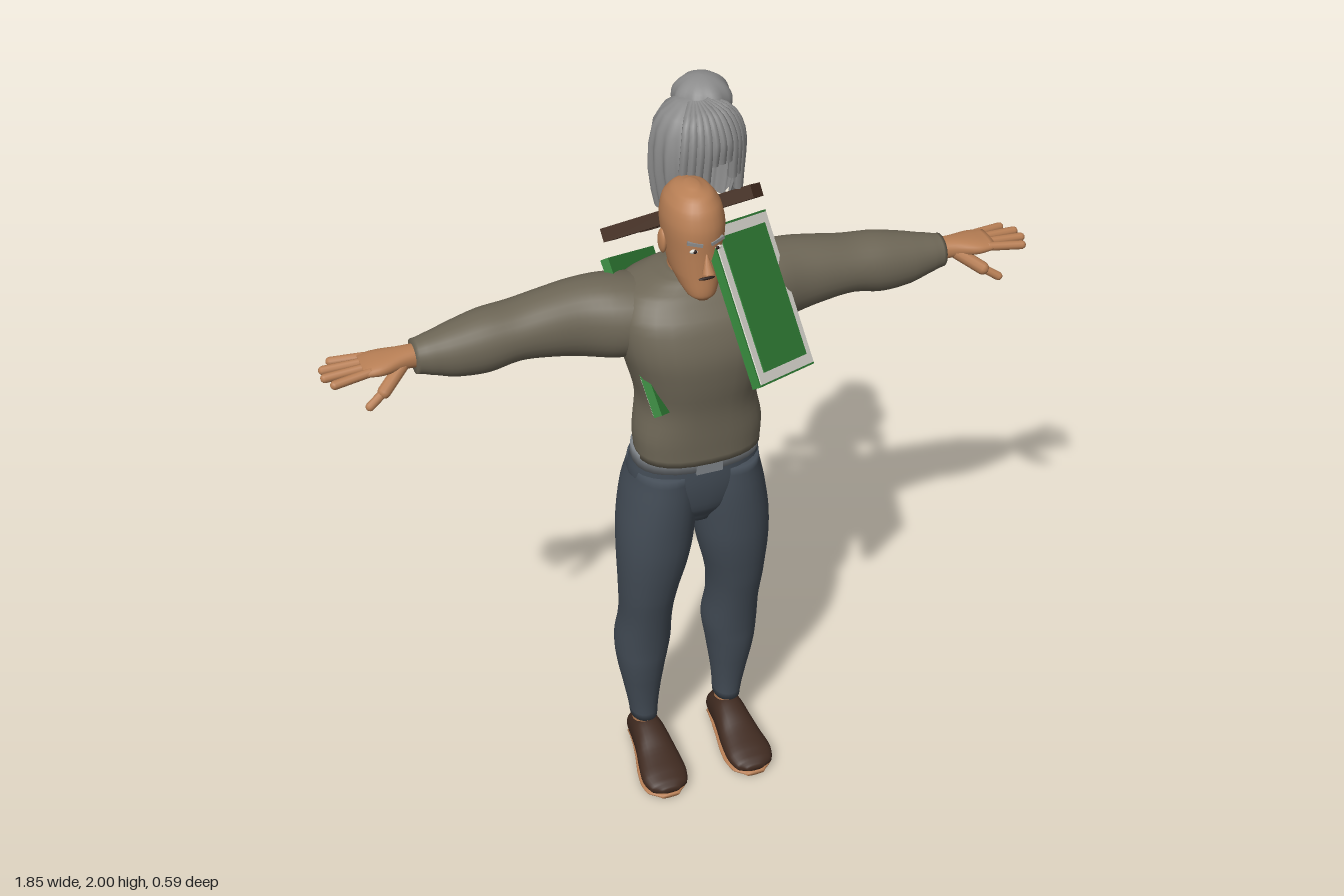
import * as THREE from 'three';

const mat = (name, color, double) => {
  const m = new THREE.MeshStandardMaterial({ color });
  m.name = name;
  if (double) m.side = THREE.DoubleSide;
  return m;
};
const V = (x, y, z) => new THREE.Vector3(x, y, z);

// Closed body through cross-sections [t, a0, a1, b0, b1] along an axis.
// Axis y: a = x, b = z.  Axis x: a = z, b = y.  Axis z: a = y, b = x.
function loft(rows, axis = 'y', power = 2.3, steps = 4, sides = 28) {
  const place = { y: (t, a, b) => [a, t, b], x: (t, a, b) => [t, b, a], z: (t, a, b) => [b, a, t] }[axis];
  const rings = [];
  for (let i = 0; i < rows.length - 1; i++) {
    const [p, q, r, s] = [rows[Math.max(i - 1, 0)], rows[i], rows[i + 1], rows[Math.min(i + 2, rows.length - 1)]];
    for (let k = 0; k < steps; k++) {
      const u = k / steps;
      rings.push(q.map((v, c) => c === 0 ? v + (r[0] - v) * u :
        0.5 * (2 * v + (r[c] - p[c]) * u + (2 * p[c] - 5 * v + 4 * r[c] - s[c]) * u * u + (3 * v - p[c] - 3 * r[c] + s[c]) * u ** 3)));
    }
  }
  rings.push(rows[rows.length - 1]);
  const pos = [], index = [];
  const bend = (v) => Math.sign(v) * Math.abs(v) ** (2 / power);
  for (const [t, a0, a1, b0, b1] of rings) {
    for (let j = 0; j < sides; j++) {
      const th = (j / sides) * Math.PI * 2;
      pos.push(...place(t, (a0 + a1) / 2 + bend(Math.cos(th)) * (a1 - a0) / 2, (b0 + b1) / 2 + bend(Math.sin(th)) * (b1 - b0) / 2));
    }
  }
  for (let i = 0; i < rings.length - 1; i++) for (let j = 0; j < sides; j++) {
    const a = i * sides + j, b = i * sides + (j + 1) % sides;
    index.push(a, a + sides, b, b, a + sides, b + sides);
  }
  // end caps
  [0, rings.length - 1].forEach((i, end) => {
    const [t, a0, a1, b0, b1] = rings[i], c = pos.length / 3;
    pos.push(...place(t, (a0 + a1) / 2, (b0 + b1) / 2));
    for (let j = 0; j < sides; j++) {
      const a = i * sides + j, b = i * sides + (j + 1) % sides;
      index.push(...(end ? [c, b, a] : [c, a, b]));
    }
  });
  const g = new THREE.BufferGeometry();
  g.setAttribute('position', new THREE.Float32BufferAttribute(pos, 3));
  g.setIndex(index);
  g.computeVertexNormals();
  return g;
}

function mirrored(g) {
  const m = g.clone().scale(-1, 1, 1), ix = m.index;
  for (let i = 0; i < ix.count; i += 3) {
    const b = ix.getX(i + 1);
    ix.setX(i + 1, ix.getX(i + 2));
    ix.setX(i + 2, b);
  }
  return m;
}

// Rounded rod between two points
function rod(a, b, r) {
  const d = b.clone().sub(a);
  const q = new THREE.Quaternion().setFromUnitVectors(V(0, 1, 0), d.clone().normalize());
  const mid = a.clone().add(b).multiplyScalar(0.5);
  return new THREE.CapsuleGeometry(r, d.length(), 4, 10).applyQuaternion(q).translate(mid.x, mid.y, mid.z);
}

export function createModel() {
  const model = new THREE.Group();
  const skin = mat('skin', 0xb87f55), wool = mat('sweater wool', 0x6d6656), denim = mat('trouser blue', 0x434c56);
  const beltGrey = mat('belt grey', 0x7e8388), leather = mat('shoe brown', 0x3f2a20), wood = mat('wood brown', 0x422c1f);
  const hairGrey = mat('hair grey', 0x8b8b8b, true), green = mat('panel green', 0x2f7d35), white = mat('border white', 0xdcdad2);
  const dark = mat('dark brown', 0x2a1c18);
  const add = (name, g, m, parent = model) => {
    const mesh = new THREE.Mesh(g, m);
    mesh.name = name;
    parent.add(mesh);
    return mesh;
  };
  const pair = (name, g, m) => {
    add('left' + name, g, m);
    add('right' + name, mirrored(g), m);
  };
  const ball = (x, y, z, sx, sy, sz) => new THREE.SphereGeometry(1, 20, 14).scale(sx, sy, sz).translate(x, y, z);
  const sym = (rows) => rows.map(([y, w, z0, z1]) => [y, -w, w, z0, z1]);

  // Sweater body, its hem raised at the back
  const torso = loft(sym([[1.09, .163, -.092, .122], [1.16, .166, -.1, .126], [1.25, .152, -.125, .132], [1.34, .172, -.15, .147],
    [1.42, .195, -.165, .15], [1.5, .2, -.165, .125], [1.555, .17, -.15, .08], [1.585, .1, -.12, .045], [1.595, .06, -.09, .03]]), 'y', 2.4);
  const tp = torso.attributes.position;
  for (let i = 0; i < tp.count; i++) if (tp.getY(i) < 1.11) tp.setY(i, tp.getY(i) + 0.25 * Math.max(0, -tp.getZ(i)));
  torso.computeVertexNormals();
  add('sweaterBody', torso, wool);
  pair('Sleeve', loft([[.1, -.16, .07, 1.38, 1.565], [.2, -.17, .05, 1.365, 1.575], [.28, -.165, .02, 1.375, 1.572], [.36, -.158, .01, 1.39, 1.56],
    [.44, -.155, .005, 1.398, 1.545], [.52, -.15, .005, 1.383, 1.54], [.6, -.132, -.002, 1.39, 1.525], [.66, -.112, -.012, 1.41, 1.512],
    [.695, -.104, -.018, 1.42, 1.505]], 'x', 2.1), wool);

  // Waist, belt and trousers
  add('waist', loft(sym([[1.04, .15, -.1, .09], [1.18, .15, -.09, .1]])), skin);
  add('belt', loft(sym([[1.058, .167, -.113, .106], [1.1, .167, -.106, .108]]), 'y', 2.4, 1), beltGrey);
  add('beltFlap', new THREE.BoxGeometry(.07, .03, .01).translate(0, 1.068, .104), beltGrey);
  add('trouserSeat', loft(sym([[.86, .05, -.06, .05], [.92, .12, -.115, .085], [1, .172, -.135, .1], [1.085, .163, -.106, .1]])), denim);
  pair('TrouserLeg', loft([[.13, .087, .16, -.125, -.03], [.22, .08, .174, -.13, -.02], [.34, .064, .195, -.152, .003], [.42, .052, .2, -.155, .015],
    [.52, .055, .195, -.126, .035], [.62, .046, .2, -.116, .06], [.75, .016, .206, -.122, .086], [.85, .002, .203, -.135, .097],
    [.95, -.004, .188, -.145, .102], [1.04, .004, .168, -.125, .1]], 'y', 2.15), denim);

  // Ankles and shoes
  pair('Ankle', loft([[.05, .09, .155, -.12, -.03], [.11, .093, .152, -.115, -.04], [.165, .092, .154, -.118, -.037]]), skin);
  pair('Shoe', loft([[-.142, .03, .055, .1, .14], [-.125, .012, .095, .083, .157], [-.06, .01, .122, .076, .166], [-.01, .01, .11, .07, .172],
    [.04, .01, .085, .064, .182], [.1, .01, .065, .062, .19], [.138, .012, .05, .074, .178], [.153, .02, .036, .1, .15]], 'z'), leather);
  pair('Sole', loft([[-.142, 0, .012, .09, .15], [-.06, 0, .014, .08, .16], [.06, 0, .014, .062, .187], [.12, 0, .014, .07, .184], [.15, 0, .012, .1, .152]], 'z', 2.6), skin);

  // Hands
  pair('Palm', loft([[.66, -.088, -.03, 1.437, 1.495], [.72, -.088, -.022, 1.445, 1.495], [.78, -.102, -.004, 1.45, 1.49], [.825, -.1, -.006, 1.456, 1.484]], 'x'), skin);
  [[-.09, -.108, .885], [-.067, -.076, .91], [-.042, -.042, .913], [-.018, -.006, .898]].forEach(([z0, z1, x], i) =>
    pair('Finger' + (i + 1), rod(V(.81, 1.471, z0), V(x, 1.464, z1), .0115), skin));
  pair('ThumbBase', rod(V(.73, 1.46, -.035), V(.785, 1.425, .005), .017), skin);
  pair('ThumbTip', rod(V(.785, 1.425, .005), V(.825, 1.4, .018), .011), skin);

  // Neck and head
  add('neck', loft(sym([[1.5, .07, -.1, .04], [1.58, .058, -.085, .035], [1.68, .055, -.085, .04]])), skin);
  add('head', loft([[1.552, .02, .04, .085], [1.565, .036, .01, .097], [1.585, .047, -.03, .1], [1.62, .06, -.075, .099], [1.68, .069, -.096, .099],
    [1.74, .074, -.105, .1], [1.785, .066, -.096, .087], [1.815, .045, -.068, .062], [1.83, .014, -.025, .022]].map(([y, w, a, b]) => [y, -.006 - w, w - .006, a, b]), 'y', 2.15), skin);
  const nose = new THREE.ConeGeometry(.016, .055, 12).rotateX(-.25).translate(-.006, 1.668, .103);
  add('nose', nose, skin);
  add('mouth', ball(-.006, 1.622, .098, .021, .004, .005), dark);
  for (const s of [-1, 1]) {
    const x = -.006 + s * .028;
    add('ear', ball(-.006 + s * .072, 1.68, -.012, .01, .032, .02), skin);
    add('eyeWhite', ball(x, 1.698, .091, .013, .006, .005), white);
    add('pupil', ball(x, 1.698, .094, .005, .005, .004), dark);
    const brow = add('eyebrow', new THREE.BoxGeometry(.038, .008, .009), hairGrey);
    brow.position.set(x, 1.718, .093);
    brow.rotation.set(0, s * .3, s * .2);
  }

  // Hollow wig with wavy locks, open towards the front
  const wig = new THREE.Group();
  wig.name = 'wig';
  wig.position.set(.06, 0, -.16);
  model.add(wig);
  const shell = new THREE.LatheGeometry([[.092, 1.69], [.1, 1.73], [.108, 1.79], [.108, 1.85], [.1, 1.9], [.08, 1.935], [.045, 1.96], [.004, 1.965]]
    .map(([r, y]) => new THREE.Vector2(r, y)), 120, .95, Math.PI * 2 - 1.4);
  const sp = shell.attributes.position;
  for (let i = 0; i < sp.count; i++) {
    const x = sp.getX(i), y = sp.getY(i), z = sp.getZ(i), a = Math.atan2(x, z), low = Math.min(1, (1.965 - y) / .2);
    const k = 1 + low * (.05 * Math.sin(a * 17) + .03 * Math.sin(a * 7 + 1));
    const drop = Math.max(0, (1.85 - y) / .16);
    sp.setXYZ(i, x * k, y + drop * (.045 * Math.cos(a) + .012 * Math.sin(a * 9)), z * k);
  }
  shell.computeVertexNormals();
  add('wigShell', shell, hairGrey, wig);
  for (let i = 0; i < 11; i++) {
    const a = -.55 + i * .165, edge = Math.abs(i - 5) / 5, end = 1.86 - .13 * edge - .025 * (i % 2);
    const at = (r, y, da = 0) => V(Math.sin(a + da) * r, y, Math.cos(a + da) * r);
    const path = new THREE.CatmullRomCurve3([at(.03, 1.96), at(.085, 1.94), at(.112, 1.89), at(.108, end, (a - .27) * .15)]);
    add('frontLock', new THREE.TubeGeometry(path, 12, .012, 7), hairGrey, wig);
  }
  // Gathered bun
  const bun = new THREE.SphereGeometry(1, 40, 20), bp = bun.attributes.position;
  for (let i = 0; i < bp.count; i++) {
    const k = 1 + .05 * Math.sin(Math.atan2(bp.getX(i), bp.getZ(i)) * 8) * (1 - bp.getY(i) ** 2);
    bp.setXYZ(i, bp.getX(i) * k * .072, bp.getY(i) * .06, bp.getZ(i) * k * .078);
  }
  bun.translate(.034, 1.94, -.04);
  bun.computeVertexNormals();
  add('bun', bun, hairGrey, wig);

  // Wooden beams behind the head
  const u = V(.12, .078, .095).normalize();
  const n = V(.13, -.06, -.105).cross(u).normalize(), w = u.clone().cross(n);
  [[V(-.165, 1.63, -.165), .25], [V(-.035, 1.572, -.27), .33]].forEach(([low, len], i) => {
    const m = new THREE.Matrix4().makeBasis(u, n, w).setPosition(low.addScaledVector(u, len / 2));
    add('beam' + (i + 1), new THREE.BoxGeometry(len, .034, .056).applyMatrix4(m), wood);
  });

  // Bordered panels: corner, edge across, edge down, decorated side
  const panel = (name, corner, across, down, side) => {
    const wide = across.length(), tall = down.length();
    const x = across.clone().normalize(), z = x.clone().cross(down.clone().negate()).normalize(), y = z.clone().cross(x);
    const g = new THREE.Group();
    g.name = name;
    const centre = corner.clone().addScaledVector(across, .5).addScaledVector(down, .5);
    g.applyMatrix4(new THREE.Matrix4().makeBasis(x, y, z).setPosition(centre));
    add('board', new THREE.BoxGeometry(wide, tall, .022), green, g);
    add('border', new THREE.BoxGeometry(wide - .01, tall - .01, .006).translate(0, 0, side * .011), white, g);
    add('inlay', new THREE.BoxGeometry(wide - .06, tall - .06, .006).translate(0, 0, side * .0135), green, g);
    model.add(g);
  };
  panel('frontPanel', V(.012, 1.732, .055), V(.21, -.08, -.16), V(.03, -.32, .235), 1);
  panel('backPanel', V(-.195, 1.6, -.105), V(.178, -.1, -.172), V(.05, -.324, .238), -1);

  return model;
}
